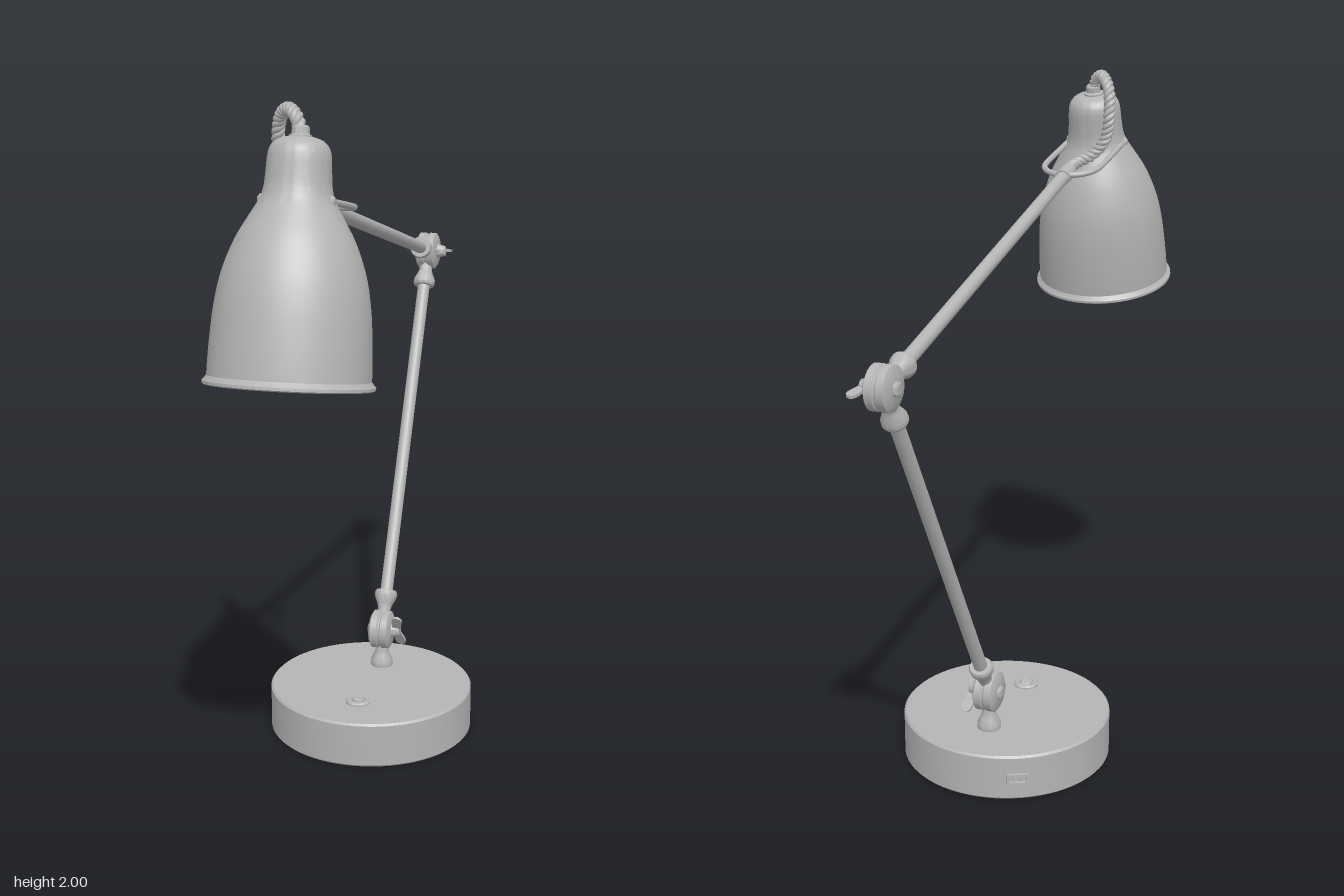
import * as THREE from 'three';
import { toCreasedNormals } from 'three/addons/utils/BufferGeometryUtils.js';

const V = (x, y, z) => new THREE.Vector3(x, y, z);
const UP = V(0, 1, 0);

export function createModel() {
  const root = new THREE.Group();
  const grey = new THREE.MeshStandardMaterial({ color: 0xb4b4b4 });
  grey.name = 'satin grey';

  const add = (name, geometry, parent = root) => {
    const mesh = new THREE.Mesh(geometry, grey);
    mesh.name = name;
    parent.add(mesh);
    return mesh;
  };
  const group = (name, position, parent = root) => {
    const g = new THREE.Group();
    g.name = name;
    g.position.copy(position);
    parent.add(g);
    return g;
  };
  // Profile points are [radius, height], running so that the outside faces out
  const turned = (points, sides = 32) => toCreasedNormals(
    new THREE.LatheGeometry(points.map(([r, y]) => new THREE.Vector2(r, y)), sides), 0.55);
  const aim = (mesh, dir) => mesh.quaternion.setFromUnitVectors(UP, dir.clone().normalize());
  const rod = (name, a, b, r, sides = 20) => {
    const mesh = add(name, new THREE.CylinderGeometry(r, r, a.distanceTo(b), sides));
    mesh.position.copy(a).lerp(b, 0.5);
    aim(mesh, b.clone().sub(a));
    return mesh;
  };

  const lowJoint = V(0, 0.26, -0.24);
  const topJoint = V(0, 1.385, -0.877);
  const forkRoot = V(0, 1.712, 0.4);
  const lowerDir = topJoint.clone().sub(lowJoint).normalize();
  const upperDir = forkRoot.clone().sub(topJoint).normalize();

  // Base
  const base = group('base', V(0, 0, -0.1));
  add('baseDrum', turned([[0, 0], [0.309, 0], [0.315, 0.006], [0.315, 0.134], [0.309, 0.14], [0, 0.14]], 72), base);
  const button = group('switch', V(0, 0.14, 0.158), base);
  add('switchRing', turned([[0, 0], [0.038, 0], [0.038, 0.004], [0.032, 0.009], [0.024, 0.009], [0.022, 0.005], [0, 0.005]]), button);
  const rocker = add('switchRocker', turned([[0, 0], [0.019, 0], [0.019, 0.009], [0.014, 0.013], [0, 0.013]], 24), button);
  rocker.rotation.x = -0.15;

  // Power inlet in the rear wall
  const inlet = group('powerInlet', V(-0.148, 0.07, -0.278), base);
  inlet.rotation.y = Math.atan2(-0.148, -0.278);
  const frame = new THREE.Shape([[-0.033, -0.016], [0.033, -0.016], [0.033, 0.016], [-0.033, 0.016]].map(p => new THREE.Vector2(...p)));
  frame.holes.push(new THREE.Path([[-0.025, -0.01], [-0.025, 0.01], [0.025, 0.01], [0.025, -0.01]].map(p => new THREE.Vector2(...p))));
  add('inletFrame', new THREE.ExtrudeGeometry(frame, { depth: 0.014, bevelEnabled: false }), inlet).position.z = -0.004;
  for (const x of [-0.01, 0.01]) {
    add('inletPin', new THREE.BoxGeometry(0.005, 0.01, 0.01), inlet).position.set(x, 0, 0.003);
  }

  // Hinges: paired discs, bolt head and wing nut
  const wing = new THREE.Shape();
  wing.moveTo(0.036, -0.014);
  wing.lineTo(0.036, 0.014);
  wing.bezierCurveTo(0.042, 0.03, 0.036, 0.055, 0.046, 0.068);
  wing.bezierCurveTo(0.056, 0.08, 0.074, 0.07, 0.072, 0.052);
  wing.bezierCurveTo(0.07, 0.03, 0.062, 0.018, 0.06, 0);
  wing.bezierCurveTo(0.062, -0.018, 0.07, -0.03, 0.072, -0.052);
  wing.bezierCurveTo(0.074, -0.07, 0.056, -0.08, 0.046, -0.068);
  wing.bezierCurveTo(0.036, -0.055, 0.042, -0.03, 0.036, -0.014);
  const wingGeo = new THREE.ExtrudeGeometry(wing, { depth: 0.008, bevelEnabled: false, curveSegments: 8 });
  wingGeo.translate(0, 0, -0.004);

  const collar = [[0, 0.035], [0.02, 0.035], [0.021, 0.07], [0.025, 0.082], [0.035, 0.104], [0.036, 0.118], [0.032, 0.126], [0, 0.126]];
  const hinge = (name, position, wingAngle, arms) => {
    const g = group(name, position);
    const onAxle = (part, points) => { add(part, turned(points), g).rotation.z = -Math.PI / 2; };
    onAxle('hingeDiscs', [[0, -0.034], [0.046, -0.034], [0.06, -0.026], [0.06, -0.006], [0.055, -0.002],
      [0.055, 0.002], [0.06, 0.006], [0.06, 0.026], [0.046, 0.034], [0, 0.034]]);
    onAxle('boltHead', [[0, -0.044], [0.014, -0.044], [0.02, -0.04], [0.02, -0.03], [0, -0.03]]);
    onAxle('nutHub', [[0, 0.03], [0.024, 0.03], [0.022, 0.04], [0.016, 0.06], [0, 0.06]]);
    add('wingNut', wingGeo, g).rotation.x = wingAngle;
    for (const dir of arms) aim(add('collar', turned(collar), g), dir);
  };
  hinge('lowerHinge', lowJoint, 0.6, [lowerDir, V(0, -1, 0)]);
  hinge('upperHinge', topJoint, 1.44, [lowerDir.clone().negate(), upperDir]);

  // Arms
  rod('lowerArm', lowJoint.clone().addScaledVector(lowerDir, 0.1), topJoint.clone().addScaledVector(lowerDir, -0.1), 0.02);
  rod('upperArm', topJoint.clone().addScaledVector(upperDir, 0.1), forkRoot, 0.02);
  rod('armSleeve', forkRoot.clone().addScaledVector(upperDir, -0.055), forkRoot.clone().addScaledVector(upperDir, 0.005), 0.024);

  // Wire fork holding the shade
  const forkY = z => 1.705 + (z - 0.35) * 0.2;
  const forkPoints = [[-0.088, 0.66]];
  for (let i = 0; i <= 12; i++) {
    const a = Math.PI * (1 - i / 12);
    forkPoints.push([0.088 * Math.cos(a), 0.44 - 0.085 * Math.sin(a)]);
  }
  forkPoints.push([0.088, 0.66]);
  const forkPath = new THREE.CatmullRomCurve3(forkPoints.map(([x, z]) => V(x, forkY(z), z)));
  add('shadeFork', new THREE.TubeGeometry(forkPath, 72, 0.009, 10));
  for (const side of [-1, 1]) {
    const screw = add('pivotScrew', turned([[0, -0.018], [0.014, -0.018], [0.014, 0.006], [0.009, 0.012], [0, 0.012]], 20));
    screw.position.set(side * 0.088, 1.767, 0.657);
    screw.rotation.z = -side * Math.PI / 2;
  }

  // Bell shade with a rolled rim and an open underside
  const shade = group('shade', V(0, 1.312, 0.74));
  shade.rotation.x = -0.2;
  const bell = [[0.208, 0.02], [0.207, 0.06], [0.204, 0.12], [0.197, 0.2], [0.182, 0.28], [0.153, 0.36], [0.12, 0.42],
    [0.097, 0.46], [0.087, 0.49], [0.083, 0.53], [0.081, 0.565], [0.076, 0.59], [0.062, 0.608], [0.042, 0.617]];
  const outer = new THREE.SplineCurve(bell.map(p => new THREE.Vector2(...p))).getPoints(44).map(p => [p.x, p.y]);
  const inner = outer.map(([r, y]) => [r - 0.006, y - 0.003]).reverse();
  add('shadeBell', turned([[0, 0.614], ...inner, [0.209, 0.002], [0.214, -0.003], [0.219, 0], [0.219, 0.007], [0.213, 0.013], ...outer, [0, 0.618]], 64), shade);
  add('cordGland', turned([[0, 0.61], [0.03, 0.61], [0.03, 0.622], [0.023, 0.626], [0.022, 0.642], [0.018, 0.647], [0, 0.647]], 24), shade);

  // Twisted cord looping from the shade to the arm
  const cordPath = new THREE.CatmullRomCurve3([
    [0, 1.925, 0.617], [-0.012, 1.962, 0.603], [-0.05, 1.981, 0.555], [-0.088, 1.95, 0.505], [-0.1, 1.875, 0.48],
    [-0.085, 1.795, 0.482], [-0.045, 1.75, 0.475], [-0.01, 1.73, 0.445], [0, 1.714, 0.39]].map(p => V(...p)));
  const steps = 200;
  const frames = cordPath.computeFrenetFrames(steps);
  const cord = group('cord', V(0, 0, 0));
  add('cordCore', new THREE.TubeGeometry(cordPath, 80, 0.012, 10), cord);
  for (let s = 0; s < 3; s++) {
    const strand = [];
    for (let i = 0; i <= steps; i++) {
      const a = s * Math.PI * 2 / 3 + i / steps * Math.PI * 2 * 9;
      strand.push(cordPath.getPointAt(i / steps)
        .addScaledVector(frames.normals[i], 0.009 * Math.cos(a))
        .addScaledVector(frames.binormals[i], 0.009 * Math.sin(a)));
    }
    add('cordStrand', new THREE.TubeGeometry(new THREE.CatmullRomCurve3(strand), 260, 0.0095, 8), cord);
  }

  return root;
}
